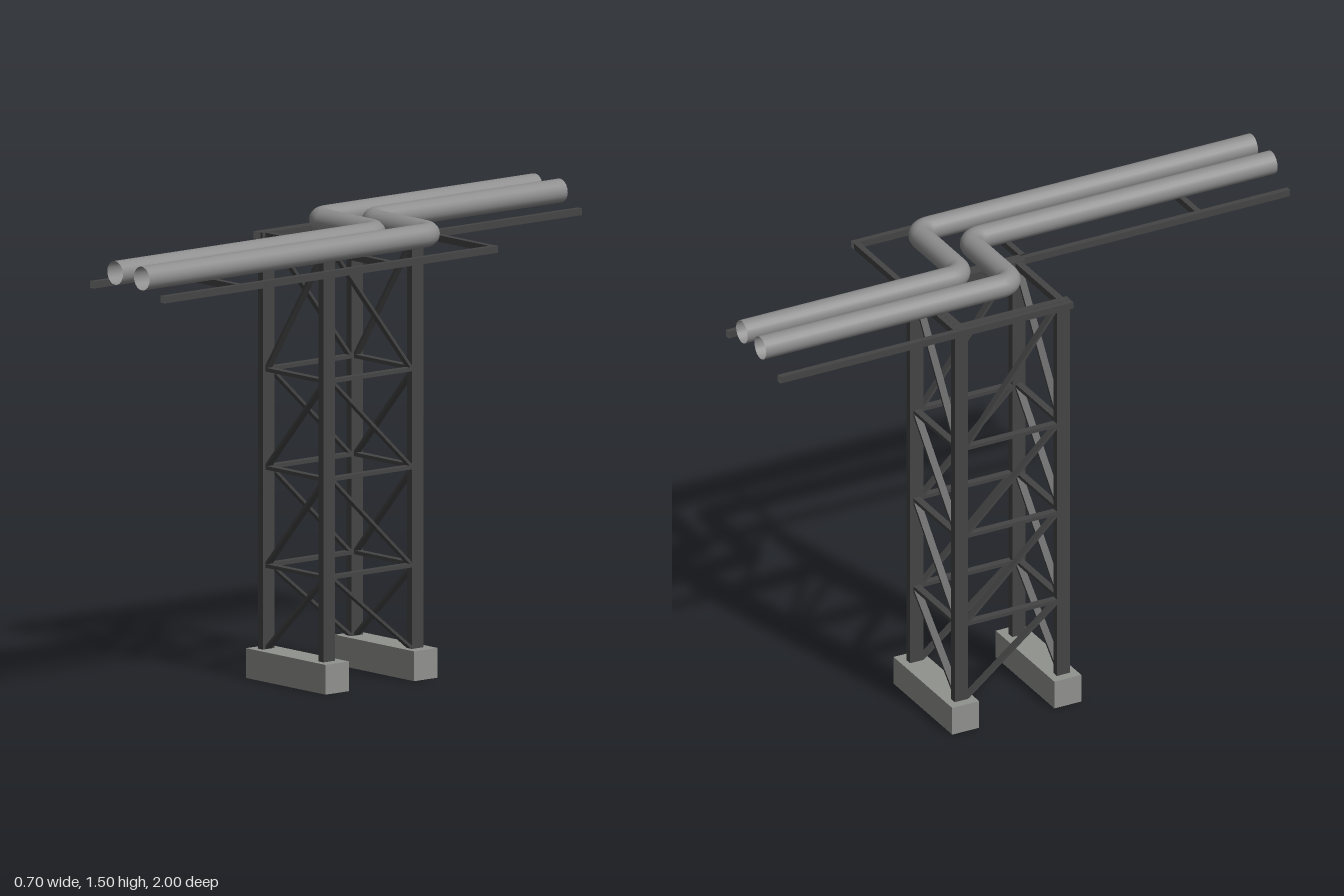
import * as THREE from 'three';

export function createModel() {
  const model = new THREE.Group();
  const material = (name, color) => {
    const m = new THREE.MeshStandardMaterial({ color, side: THREE.DoubleSide });
    m.name = name;
    return m;
  };
  const steel = material('darkSteel', 0x444444);
  const concrete = material('concrete', 0x90928e);
  const pipeGrey = material('pipeGrey', 0x8e8e8e);
  const V = (x, y, z) => new THREE.Vector3(x, y, z);

  // Open-ended rectangular bar from a to b; w is its size along "normal", d across it
  function bar(name, a, b, normal, w, d, mat = steel, capped = false) {
    const dir = b.clone().sub(a);
    const geo = new THREE.BoxGeometry(w, d, dir.length());
    geo.setIndex(Array.from(geo.index.array).slice(0, capped ? 30 : 24));
    geo.clearGroups();
    dir.normalize();
    const side = dir.clone().cross(normal).normalize();
    geo.applyMatrix4(new THREE.Matrix4().makeBasis(normal, side, dir));
    const mesh = new THREE.Mesh(geo, mat);
    mesh.name = name;
    mesh.position.copy(a).add(b).multiplyScalar(0.5);
    model.add(mesh);
  }
  const X = V(1, 0, 0), Z = V(0, 0, 1);

  // Footings and columns
  const xs = [-0.312, -0.018], zs = [-0.343, 0.022];
  const baseTop = 0.095, deckLow = 1.402, deckMid = 1.413;
  for (const z of zs) {
    bar('footing', V(-0.161, 0, z - 0.001), V(-0.161, baseTop, z - 0.001), X, 0.386, 0.096, concrete, true);
    for (const x of xs) bar('column', V(x, baseTop, z), V(x, deckLow, z), X, 0.024, 0.047);
  }

  // Lattice bracing on the four tower faces
  const levels = [baseTop, 0.361, 0.674, 0.987, 1.408];
  const [xl, xr] = [-0.302, -0.028], [zb, zf] = [-0.32, 0];
  for (let i = 0; i < 4; i++) {
    const y0 = levels[i] + 0.004, y1 = levels[i + 1] - 0.006;
    for (const z of zs) {
      bar('crossDiagonal', V(xl, y0, z), V(xr, y1, z), Z, 0.024, 0.009);
      if (i) bar('crossStrut', V(xl, levels[i], z), V(xr, levels[i], z), Z, 0.024, 0.012);
    }
    for (const x of xs) {
      bar('sideDiagonal', V(x, y0, zb), V(x, y1, zf), X, 0.024, 0.009);
      if (i) bar('sideStrut', V(x, levels[i], zb), V(x, levels[i], zf), X, 0.024, 0.012);
    }
  }

  // Top frame of the tower
  for (const x of xs) bar('topSideBeam', V(x, deckMid, -0.367), V(x, deckMid, 0.046), X, 0.024, 0.024);
  for (const z of zs) bar('topCrossBeam', V(-0.325, deckMid, z), V(-0.006, deckMid, z), Z, 0.024, 0.022);

  // Pipe rack rails: one pair to the back, one offset pair to the front
  for (const [x, z0, z1] of [[-0.335, -1, 0.046], [0.006, -1, 0.046], [-0.004, -0.373, 1], [0.338, -0.373, 1]])
    bar('rackRail', V(x, deckMid, z0), V(x, deckMid, z1), X, 0.02, 0.022);
  for (const [x, z] of [[-0.344, -0.363], [0.012, 0.057], [0.004, 0.68]])
    bar('rackCrossbar', V(x, deckMid, z), V(0.328, deckMid, z), Z, 0.02, 0.021);

  // Two pipes with a double bend each
  const py = 1.466, r = 0.05, k = r * 0.448;
  function pipe(xa, xb, zc) {
    const path = new THREE.CurvePath();
    path.add(new THREE.LineCurve3(V(xa, py, -1), V(xa, py, zc - r)));
    path.add(new THREE.CubicBezierCurve3(V(xa, py, zc - r), V(xa, py, zc - k), V(xa + k, py, zc), V(xa + r, py, zc)));
    path.add(new THREE.LineCurve3(V(xa + r, py, zc), V(xb - r, py, zc)));
    path.add(new THREE.CubicBezierCurve3(V(xb - r, py, zc), V(xb - k, py, zc), V(xb, py, zc + k), V(xb, py, zc + r)));
    path.add(new THREE.LineCurve3(V(xb, py, zc + r), V(xb, py, 1)));
    const mesh = new THREE.Mesh(new THREE.TubeGeometry(path, 180, 0.038, 20), pipeGrey);
    mesh.name = 'pipe';
    model.add(mesh);
  }
  pipe(-0.211, 0.107, -0.092);
  pipe(-0.09, 0.236, -0.206);

  return model;
}
